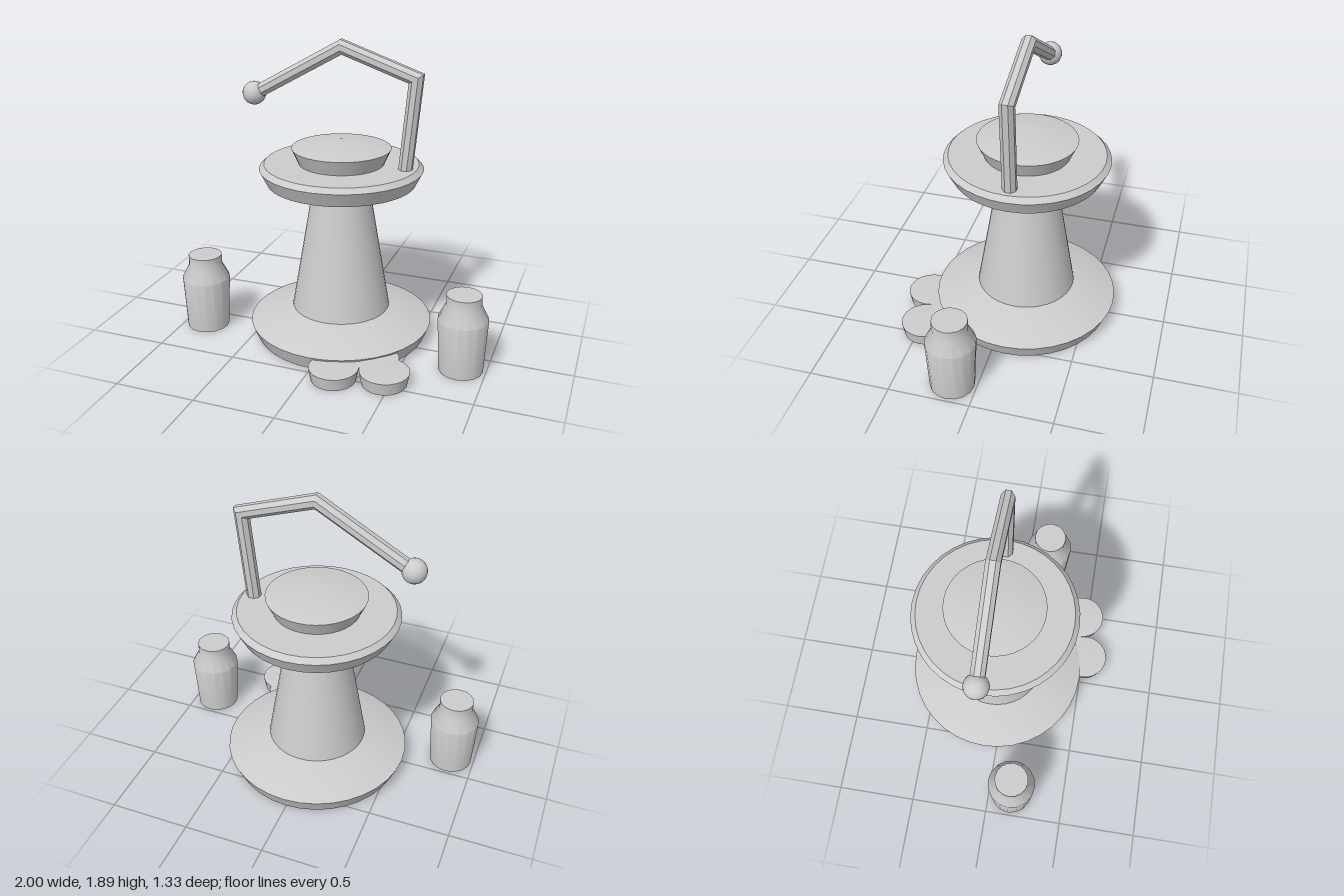
import * as THREE from 'three';
import { toCreasedNormals } from 'three/addons/utils/BufferGeometryUtils.js';

const grey = new THREE.MeshStandardMaterial({ color: 0xcccccc });
grey.name = 'plainGrey';

const AXIS_Z = -0.085; // centre of the tower

// Solid of revolution from [radius, height] pairs, listed bottom to top
function turned(name, profile, sides, x, z) {
  const points = profile.map(([r, y]) => new THREE.Vector2(r, y));
  const mesh = new THREE.Mesh(toCreasedNormals(new THREE.LatheGeometry(points, sides), 0.6), grey);
  mesh.name = name;
  mesh.position.set(x, 0, z);
  return mesh;
}

// Faceted bar with mitred corners along a path in the xy plane
function bar(name, path, radius, sides) {
  const pts = path.map(([x, y]) => new THREE.Vector2(x, y));
  const last = pts.length - 1;
  const pos = [];
  const index = [];
  pts.forEach((p, i) => {
    const a = pts[Math.max(i, 1)].clone().sub(pts[Math.max(i, 1) - 1]).normalize();
    const k = Math.min(i, last - 1);
    const b = pts[k + 1].clone().sub(pts[k]).normalize();
    const t = a.clone().add(b).normalize();
    const reach = radius / t.dot(b); // widen the ring at a mitre
    for (let j = 0; j < sides; j++) {
      const w = ((j + 0.5) / sides) * Math.PI * 2;
      const m = Math.cos(w) * reach;
      pos.push(p.x - t.y * m, p.y + t.x * m, Math.sin(w) * radius);
    }
  });
  const first = pos.length / 3;
  pos.push(pts[0].x, pts[0].y, 0, pts[last].x, pts[last].y, 0);
  for (let j = 0; j < sides; j++) {
    const n = (j + 1) % sides;
    for (let i = 0; i < last; i++) {
      const r = i * sides;
      const s = r + sides;
      index.push(r + j, r + n, s + n, r + j, s + n, s + j);
    }
    index.push(n, j, first, last * sides + j, last * sides + n, first + 1); // end caps
  }
  const indexed = new THREE.BufferGeometry();
  indexed.setAttribute('position', new THREE.Float32BufferAttribute(pos, 3));
  indexed.setIndex(index);
  const geometry = indexed.toNonIndexed();
  geometry.computeVertexNormals();
  const mesh = new THREE.Mesh(geometry, grey);
  mesh.name = name;
  mesh.position.z = AXIS_Z;
  return mesh;
}

export function createModel() {
  const model = new THREE.Group();
  model.name = 'tower';

  // Foot, tapering column and flared collar
  model.add(turned('base', [[0, 0], [0.54, 0], [0.58, 0.095], [0.31, 0.19], [0, 0.19]], 36, 0, AXIS_Z));
  model.add(turned('column',
    [[0, 0.185], [0.31, 0.187], [0.185, 0.925], [0.275, 1.022], [0, 1.022]], 36, 0, AXIS_Z));

  // Wide tray and the cap on it
  model.add(turned('tray',
    [[0, 1.02], [0.46, 1.02], [0.505, 1.11], [0.475, 1.14], [0, 1.14]], 36, 0, AXIS_Z));
  model.add(turned('cap', [[0, 1.135], [0.26, 1.135], [0.305, 1.235], [0, 1.292]], 36, 0, AXIS_Z));

  // Bent arm with a ball at its tip
  model.add(bar('arm', [[0.395, 1.02], [0.458, 1.692], [0, 1.848], [-0.55, 1.535]], 0.044, 8));
  const ball = new THREE.Mesh(new THREE.SphereGeometry(0.073, 18, 12), grey);
  ball.name = 'armBall';
  ball.position.set(-0.572, 1.527, AXIS_Z);
  model.add(ball);

  // A jar on each side
  const jar = [[0, 0], [0.135, 0], [0.152, 0.34], [0.106, 0.43], [0.106, 0.495], [0, 0.495]];
  for (const [side, name] of [[1, 'leftJar'], [-1, 'rightJar']]) {
    model.add(turned(name, jar, 16, side * 0.848, 0.15));
  }

  // Cluster of low pads at the foot
  const pad = [[0, 0], [0.135, 0], [0.15, 0.08], [0, 0.088]];
  [[0.167, 0.513], [0.462, 0.455], [0.36, 0.33]].forEach(([x, z], i) => {
    model.add(turned('footPad' + (i + 1), pad, 24, x, z));
  });

  return model;
}
